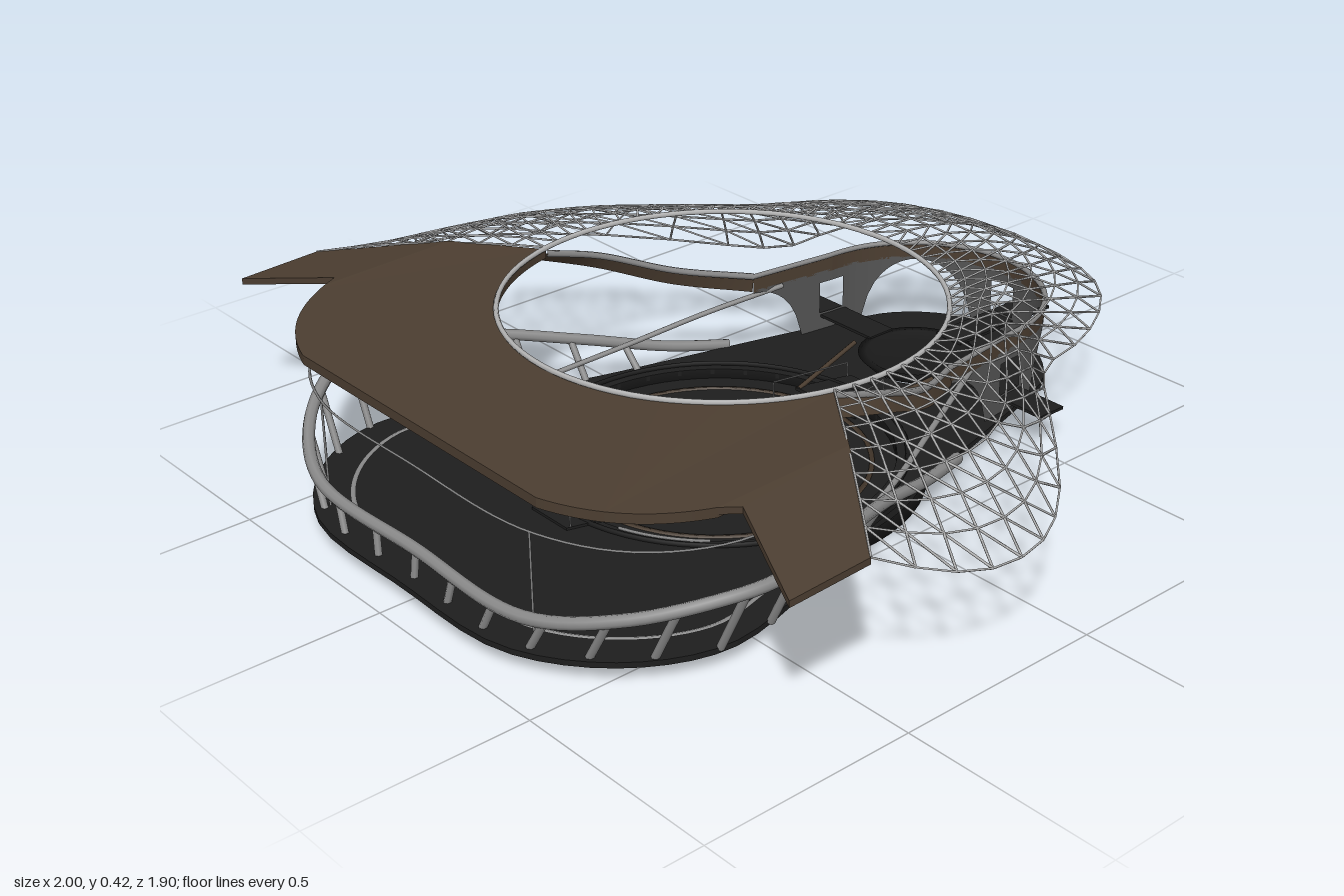
import * as THREE from 'three';
import { mergeGeometries } from 'three/addons/utils/BufferGeometryUtils.js';

const V = (x, y, z) => new THREE.Vector3(x, y, z);
const mat = (name, color, side = THREE.FrontSide) => {
  const m = new THREE.MeshStandardMaterial({ color, side });
  m.name = name;
  return m;
};

export function createModel() {
  const root = new THREE.Group();
  root.name = 'pavilion';
  const timber = mat('dark timber', 0x4c3e31, THREE.DoubleSide);
  const deck = mat('charcoal deck', 0x1e1e1e);
  const pit = mat('black base', 0x191919, THREE.DoubleSide);
  const steel = mat('steel', 0x8a8a8a);
  const lattice = mat('pale lattice', 0xb4b4b4);
  const wall = mat('grey wall', 0x555555, THREE.DoubleSide);

  const add = (name, geo, m, x = 0, y = 0, z = 0) => {
    const mesh = new THREE.Mesh(geo, m);
    mesh.name = name;
    mesh.position.set(x, y, z);
    root.add(mesh);
    return mesh;
  };
  const curve = (pts) => new THREE.CatmullRomCurve3(pts.map((p) => V(...p)));
  const tubeGeo = (pts, r, seg = 48, sides = 6) => new THREE.TubeGeometry(curve(pts), seg, r, sides);
  // Half outline listed front to back, returned as a full run from right-back round the front to left-back
  const mirrorRun = (half) => [...half.slice().reverse(), ...half.slice(1).map(([x, y, z]) => [-x, y, z])];
  // Horizontal plate from a plan shape (x, z), with its upper face at y = top
  const plate = (shape, top, depth) =>
    new THREE.ExtrudeGeometry(shape, { depth, bevelEnabled: false, curveSegments: 48 }).rotateX(Math.PI / 2).translate(0, top, 0);
  const lathe = (pts, seg = 64) => new THREE.LatheGeometry(pts.map((p) => new THREE.Vector2(...p)), seg);
  const rod = (a, b, r, sides = 3) => {
    const d = b.clone().sub(a);
    const g = new THREE.CylinderGeometry(r, r, d.length(), sides, 1, true);
    g.applyQuaternion(new THREE.Quaternion().setFromUnitVectors(V(0, 1, 0), d.normalize()));
    return g.translate((a.x + b.x) / 2, (a.y + b.y) / 2, (a.z + b.z) / 2);
  };
  const surface = (pos, idx) => {
    const g = new THREE.BufferGeometry();
    g.setAttribute('position', new THREE.Float32BufferAttribute(pos, 3));
    g.setIndex(idx);
    g.computeVertexNormals();
    return g;
  };

  const PIT = 0.1, REAR = -0.53;

  // Teardrop floor with the arena opening and the small rear opening
  const half = [[0, 0, 0.945], [0.33, 0, 0.93], [0.52, 0, 0.8], [0.61, 0, 0.61], [0.56, 0, 0.35], [0.47, 0, 0.1],
    [0.41, 0, -0.13], [0.35, 0, -0.37], [0.3, 0, -0.55], [0.25, 0, -0.7], [0.14, 0, -0.8], [0, 0, -0.825]];
  const loop = new THREE.CatmullRomCurve3(mirrorRun(half).slice(1).map((p) => V(...p)), true);
  const floor = new THREE.Shape(loop.getPoints(96).slice(0, -1).map((p) => new THREE.Vector2(p.x, p.z)));
  floor.holes.push(new THREE.Path().absarc(0, PIT, 0.4, 0, Math.PI * 2, true));
  floor.holes.push(new THREE.Path().absarc(0, REAR, 0.1, 0, Math.PI * 2, true));
  add('floor', plate(floor, 0.05, 0.013), deck);
  // Bright seam set through the floor near its front edge
  add('floorSeam', tubeGeo(mirrorRun([[0, 0.0435, 0.86], [0.3, 0.0435, 0.85], [0.46, 0.0435, 0.74], [0.54, 0.0435, 0.58], [0.51, 0.0435, 0.4]]), 0.0085, 64, 8), steel);

  // Sunken arena drum
  add('arenaDrum', lathe([[0.4, 0.049], [0.4, 0], [0.47, 0], [0.47, 0.038]]), pit, 0, 0, PIT);
  add('arenaFloor', new THREE.CylinderGeometry(0.402, 0.402, 0.014, 64), deck, 0, 0.019, PIT);
  add('arenaTrim', lathe([[0.34, 0.01], [0.351, 0.01], [0.351, 0.029], [0.34, 0.029], [0.34, 0.01]]), timber, 0, 0, PIT);
  add('arenaCurb', new THREE.TorusGeometry(0.425, 0.006, 6, 64).rotateX(Math.PI / 2), pit, 0, 0.053, PIT);
  // Bright edge strips on either side of the front bridge
  for (const start of [0.75, 1.89]) {
    add('curbStrip', new THREE.TorusGeometry(0.405, 0.004, 5, 20, 0.5).rotateZ(start).rotateX(Math.PI / 2), steel, 0, 0.053, PIT);
  }

  // Front and rear bridges into the arena, with wire handrails
  for (const s of [1, -1]) {
    const b = new THREE.Shape([[-0.06, 0.47], [0.06, 0.47], [0.1, 0.33], [-0.1, 0.33]].map(([x, z]) => new THREE.Vector2(x, s * z)));
    add('arenaBridge', plate(b, 0.056, 0.008), deck, 0, 0, PIT);
    for (const k of [1, -1]) {
      const path = [[0.06, 0.055, 0.46], [0.06, 0.092, 0.46], [0.1, 0.092, 0.26], [0.1, 0.03, 0.26]]
        .map(([x, y, z]) => V(k * x, y, PIT + s * z));
      add('bridgeHandrail', mergeGeometries([0, 1, 2].map((i) => rod(path[i], path[i + 1], 0.0022))), steel);
    }
    // Timber kerb rising from the arena to the rear house
    add('rampKerb', rod(V(s * 0.09, 0.055, -0.23), V(s * 0.13, 0.09, -0.45), 0.006, 6), timber);
  }

  // Rising and falling balustrade
  const railPts = mirrorRun([[0, 0.112, 0.905], [0.36, 0.118, 0.9], [0.55, 0.16, 0.8], [0.665, 0.2, 0.65], [0.685, 0.205, 0.54],
    [0.61, 0.18, 0.3], [0.515, 0.13, 0.08], [0.44, 0.075, -0.12], [0.385, 0.05, -0.27]]);
  add('balustradeRail', tubeGeo(railPts, 0.014, 120, 8), steel);
  const railCurve = curve(railPts);
  const posts = [];
  for (let i = 2; i <= 24; i++) {
    const p = railCurve.getPointAt(i / 26);
    posts.push(rod(V(p.x * 0.89, 0.045, PIT + (p.z - PIT) * 1.01), p, 0.009, 6));
  }
  add('balustradePosts', mergeGeometries(posts), steel);

  // Thin glazing frame below the canopy
  const headRail = mirrorRun([[0, 0.3, 0.895], [0.36, 0.3, 0.88], [0.55, 0.3, 0.78], [0.65, 0.3, 0.6], [0.62, 0.3, 0.3]]);
  add('glazingHeadRail', tubeGeo(headRail, 0.003, 64, 4), steel);
  for (const s of [1, -1]) add('glazingPost', rod(V(s * 0.36, 0.05, 0.88), V(s * 0.36, 0.3, 0.88), 0.003, 4), steel);

  // Horseshoe canopy, bent down towards the front and the wing tips
  const bend = (g) => {
    const p = g.attributes.position;
    for (let i = 0; i < p.count; i++) {
      const drop = 0.015 * THREE.MathUtils.smoothstep(p.getZ(i), 0.4, 0.88) + 0.2 * Math.max(0, Math.abs(p.getX(i)) - 0.66);
      p.setY(i, p.getY(i) - drop);
    }
    g.computeVertexNormals();
    return g;
  };
  const canopy = new THREE.Shape();
  canopy.moveTo(0.475, 0.2);
  canopy.lineTo(0.66, 0.335);
  canopy.lineTo(0.66, 0.67);
  canopy.bezierCurveTo(0.61, 0.77, 0.53, 0.85, 0.4, 0.89);
  canopy.lineTo(-0.4, 0.89);
  canopy.bezierCurveTo(-0.53, 0.85, -0.61, 0.77, -0.66, 0.67);
  canopy.lineTo(-0.66, 0.335);
  canopy.lineTo(-0.475, 0.2);
  const a0 = Math.atan2(0.12, 0.475);
  canopy.absarc(0, 0.08, 0.49, Math.PI - a0, a0, true);
  add('canopy', bend(plate(canopy, 0.41, 0.022)), timber);
  for (const s of [1, -1]) {
    const wing = new THREE.Shape([[0.66, 0.335], [0.92, 0.53], [0.92, 0.73], [0.685, 0.63], [0.66, 0.67]].map(([x, z]) => new THREE.Vector2(s * x, z)));
    add('canopyWing', bend(plate(wing, 0.41, 0.015)), timber);

    // Steep arm sweeping from the canopy down to the ring beam of the rear house
    const inner = curve([[s * 0.475, 0.4, 0.2], [s * 0.468, 0.352, 0.05], [s * 0.41, 0.28, -0.13], [s * 0.325, 0.242, -0.3]]);
    const outer = curve([[s * 0.53, 0.385, 0.245], [s * 0.49, 0.315, 0.05], [s * 0.425, 0.24, -0.13], [s * 0.33, 0.2, -0.3]]);
    const pos = [], idx = [], n = 24;
    for (let i = 0; i <= n; i++) {
      pos.push(...inner.getPoint(i / n).toArray(), ...outer.getPoint(i / n).toArray());
      const k = i * 2;
      if (i < n) idx.push(...(s > 0 ? [k, k + 1, k + 2, k + 1, k + 3, k + 2] : [k, k + 2, k + 1, k + 1, k + 2, k + 3]));
    }
    add('canopyArm', surface(pos, idx), timber);
    add('armEdge', new THREE.TubeGeometry(inner, 32, 0.008, 6), steel);
    // Slender ramp rail rising to the rear house
    add('rampRail', tubeGeo([[s * 0.5, 0.075, 0.2], [s * 0.45, 0.11, 0], [s * 0.38, 0.16, -0.2], [s * 0.31, 0.2, -0.38]], 0.007, 24, 6), steel);
  }

  // Rear house, open to the arena: a half round with two forward legs
  const N = 104, R = 0.295, FIRST = 13, LAST = 91;
  const plan = (i) => {
    const t = (i / N) * Math.PI * 2;
    const leg = R * Math.max(0, Math.abs(t - Math.PI) - Math.PI / 2);
    return leg > 0 ? [Math.sign(Math.PI - t) * (R + 0.13 * leg), leg] : [Math.sin(t) * R, Math.cos(t) * R];
  };
  const band = (spans) => {
    const pos = [], idx = [];
    for (let i = FIRST; i < LAST; i++) {
      for (const [lo0, lo1, hi] of spans(i)) {
        const k = pos.length / 3;
        for (const [j, y] of [[i, lo0], [i + 1, lo1], [i + 1, hi], [i, hi]]) pos.push(plan(j)[0], y, plan(j)[1]);
        idx.push(k, k + 1, k + 2, k, k + 2, k + 3);
      }
    }
    return surface(pos, idx);
  };
  const archY = (i) => {
    const a = Math.abs((((i % 26) / 26) - 0.5) * Math.PI / 2) / 0.46;
    return a < 1 ? 0.05 + 0.148 * Math.sqrt(1 - a * a) : 0.05;
  };
  // Three piers with arches between and a window in each pier
  const archedWall = band((i) => {
    const q = i % 26;
    return q < 2 || q > 23 ? [[0.05, 0.05, 0.095], [0.175, 0.175, 0.205]] : [[archY(i), archY(i + 1), 0.205]];
  });
  add('archedWall', archedWall, wall, 0, 0, REAR);
  add('ringBeam', band(() => [[0.2, 0.2, 0.242]]), timber, 0, 0, REAR);
  const rim = [];
  for (let i = FIRST; i <= LAST; i += 3) rim.push([plan(i)[0], 0.242, plan(i)[1]]);
  add('ringBeamEdge', tubeGeo(rim, 0.007, 64), steel, 0, 0, REAR);

  // Raised rear dish with three gangways
  add('rearDish', lathe([[0.09, 0.055], [0.115, 0.06], [0.14, 0.085], [0.12, 0.085], [0.1, 0.072], [0, 0.07]], 40), pit, 0, 0, REAR);
  add('dishUnderside', new THREE.CylinderGeometry(0.088, 0.088, 0.008, 40), wall, 0, 0.055, REAR);
  add('rearGangway', new THREE.BoxGeometry(0.08, 0.007, 0.317), deck, 0, 0.086, -0.797);
  for (const s of [1, -1]) add('sideGangway', new THREE.BoxGeometry(0.3, 0.007, 0.075), deck, s * 0.275, 0.086, -0.535);

  // Triangulated wire shell from the round opening out to the flared edge
  const edge = [[0.92, 0.355, 0.53], [0.98, 0.3, 0.4], [1, 0.265, 0.26], [0.975, 0.255, 0.12], [0.89, 0.253, -0.02], [0.7, 0.25, -0.22],
    [0.52, 0.235, -0.39], [0.435, 0.225, -0.5], [0.415, 0.235, -0.63], [0.365, 0.25, -0.75], [0.27, 0.252, -0.855], [0.15, 0.252, -0.91], [0, 0.252, -0.93]];
  const edgeCurve = curve([...edge, ...edge.slice(0, -1).reverse().map(([x, y, z]) => [-x, y, z])]);
  const cols = 40, rows = 7, rods = [], WIRE = 0.0027;
  const node = (i, j) => {
    const t = i / cols, s = j / rows, o = edgeCurve.getPoint(t);
    const a = a0 - t * (Math.PI + 2 * a0);
    return V(THREE.MathUtils.lerp(Math.cos(a) * 0.49, o.x, s), 0.415 - (0.415 - o.y) * Math.pow(s, 2.2),
      THREE.MathUtils.lerp(0.08 + Math.sin(a) * 0.49, o.z, s));
  };
  for (let i = 0; i <= cols; i++) {
    for (let j = 0; j <= rows; j++) {
      const p = node(i, j);
      if (j < rows) rods.push(rod(p, node(i, j + 1), WIRE, 4));
      if (i < cols) rods.push(rod(p, node(i + 1, j), WIRE, 4));
      if (i < cols && j < rows) {
        rods.push(i >= cols / 2 ? rod(node(i + 1, j), node(i, j + 1), WIRE, 4) : rod(p, node(i + 1, j + 1), WIRE, 4));
      }
    }
  }
  add('wireShell', mergeGeometries(rods), lattice);
  add('openingRing', new THREE.TorusGeometry(0.49, 0.006, 6, 80).rotateX(Math.PI / 2), lattice, 0, 0.413, 0.08);

  return root;
}
